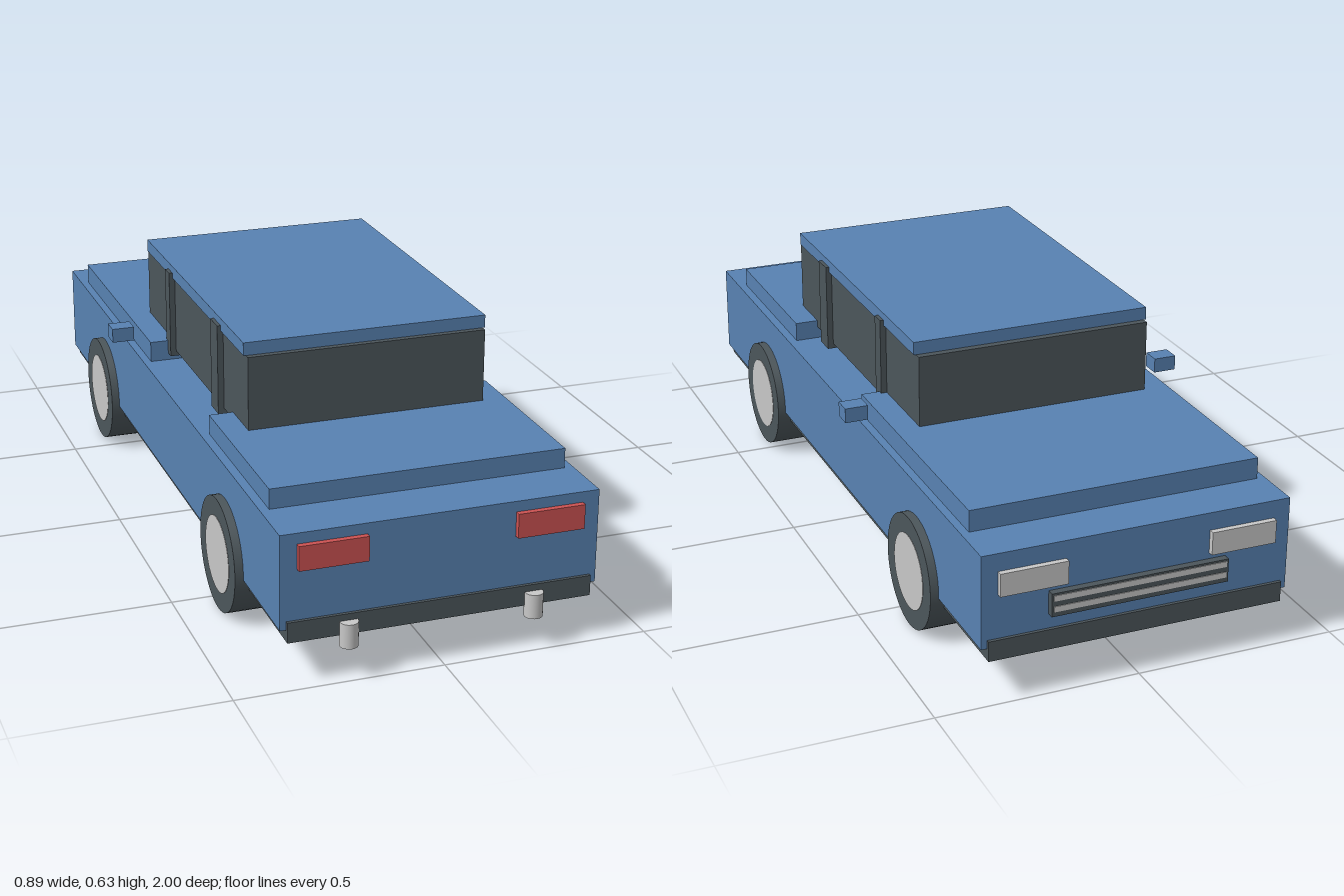
import * as THREE from 'three';

const paint = (name, color) => {
  const m = new THREE.MeshStandardMaterial({ color });
  m.name = name;
  return m;
};

export function createModel() {
  const blue = paint('bodyBlue', 0x5882b2);
  const dark = paint('darkGrey', 0x4c565b);
  const red = paint('lampRed', 0xcc5252);
  const light = paint('lightGrey', 0xc8c8c8);

  const car = new THREE.Group();
  car.name = 'car';

  const add = (name, geometry, material, x, y, z, parent = car) => {
    const mesh = new THREE.Mesh(geometry, material);
    mesh.name = name;
    mesh.position.set(x, y, z);
    parent.add(mesh);
    return mesh;
  };
  // Box given by its lower and upper limits on each axis
  const box = (name, material, [x0, x1], [y0, y1], [z0, z1]) =>
    add(name, new THREE.BoxGeometry(x1 - x0, y1 - y0, z1 - z0), material,
      (x0 + x1) / 2, (y0 + y1) / 2, (z0 + z1) / 2);
  // The same box on both sides of the car
  const pair = (name, material, [x0, x1], y, z) => {
    box(name + 'Left', material, [x0, x1], y, z);
    box(name + 'Right', material, [-x1, -x0], y, z);
  };

  // Body shell, chassis and lids
  box('body', blue, [-0.382, 0.382], [0.135, 0.366], [-0.98, 0.968]);
  box('chassis', dark, [-0.367, 0.367], [0.106, 0.156], [-0.988, 0.976]);
  box('hood', blue, [-0.362, 0.362], [0.36, 0.419], [-0.862, -0.162]);
  box('trunkLid', blue, [-0.36, 0.36], [0.36, 0.415], [0.366, 0.83]);

  // Cabin, raised slightly above the body between the lids
  box('cabinGlass', dark, [-0.3, 0.3], [0.397, 0.598], [-0.4, 0.49]);
  box('roof', blue, [-0.306, 0.306], [0.598, 0.63], [-0.382, 0.475]);
  pair('frontPillar', dark, [0.285, 0.315], [0.384, 0.612], [-0.175, -0.137]);
  pair('rearPillar', dark, [0.285, 0.315], [0.384, 0.612], [0.235, 0.293]);
  pair('mirror', blue, [0.388, 0.446], [0.404, 0.441], [-0.281, -0.233]);

  // Lamps and grille
  pair('tailLamp', red, [0.178, 0.342], [0.28, 0.34], [0.96, 0.982]);
  pair('headlamp', light, [0.178, 0.342], [0.265, 0.322], [-0.994, -0.97]);
  box('grille', dark, [-0.22, 0.22], [0.192, 0.25], [-0.998, -0.97]);
  for (const y of [0.211, 0.238])
    box('grilleBar', light, [-0.215, 0.215], [y - 0.007, y + 0.007], [-1, -0.99]);

  // Exhaust pipes
  for (const side of [-1, 1])
    add('exhaust', new THREE.CylinderGeometry(0.022, 0.022, 0.06, 24), light,
      side * 0.224, 0.11, 0.979);

  // Wheels with hubcaps
  const tyre = new THREE.CylinderGeometry(0.141, 0.141, 0.105, 48).rotateZ(Math.PI / 2);
  const cap = new THREE.CylinderGeometry(0.094, 0.094, 0.107, 40).rotateZ(Math.PI / 2);
  for (const side of [-1, 1])
    for (const z of [-0.587, 0.562]) {
      const wheel = new THREE.Group();
      wheel.name = (z < 0 ? 'front' : 'rear') + 'Wheel' + (side > 0 ? 'Left' : 'Right');
      wheel.position.set(side * 0.35, 0.142, z);
      add('tyre', tyre, dark, 0, 0, 0, wheel);
      add('hubcap', cap, light, 0, 0, 0, wheel);
      car.add(wheel);
    }

  return car;
}
